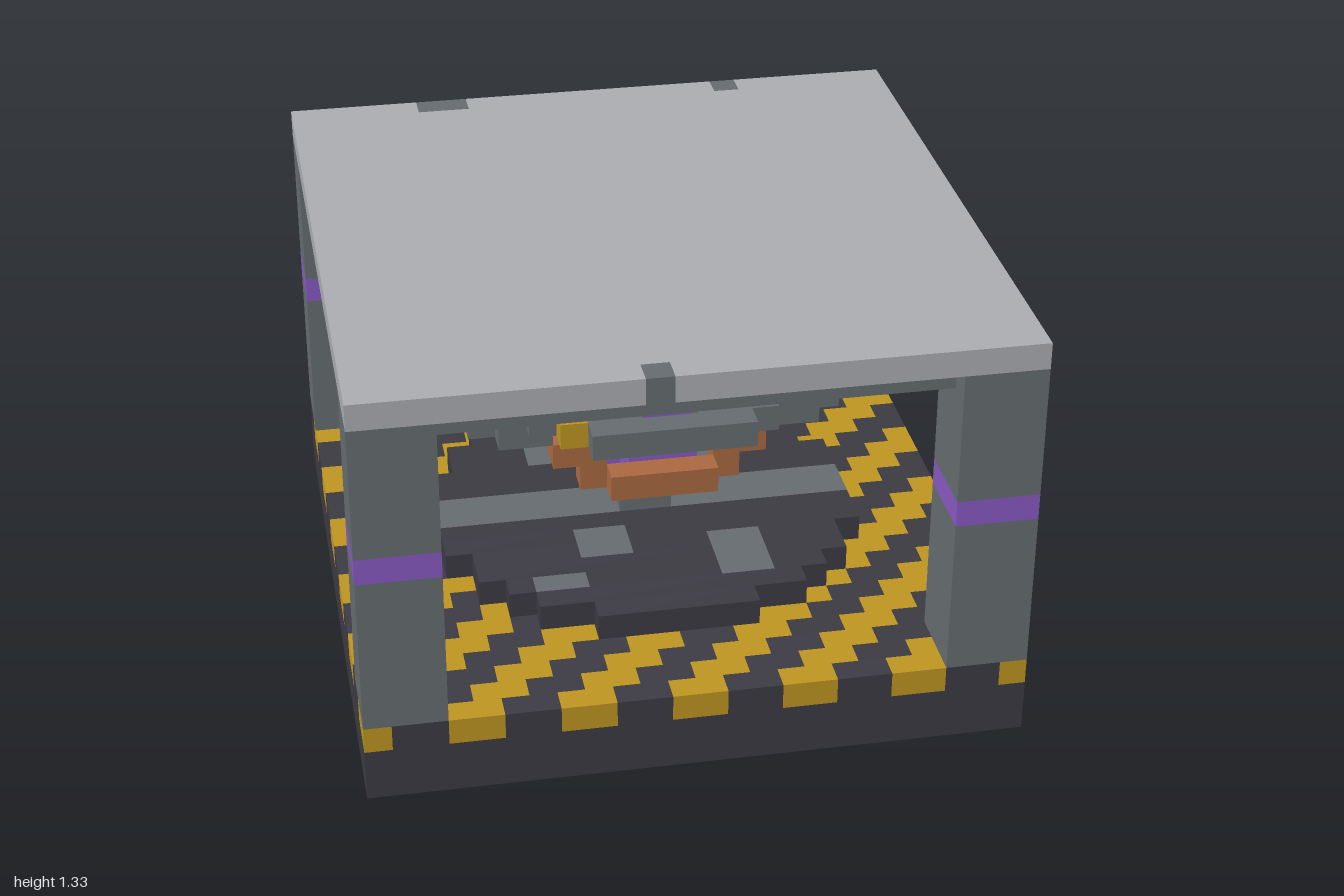
import * as THREE from 'three';
import { mergeGeometries } from 'three/addons/utils/BufferGeometryUtils.js';

const U = 1 / 12; // one block

function material(name, hex) {
  const m = new THREE.MeshStandardMaterial({ color: hex });
  m.name = name;
  return m;
}

// Box between two corners, in block units
function block(x0, y0, z0, x1, y1, z1) {
  const g = new THREE.BoxGeometry((x1 - x0) * U, (y1 - y0) * U, (z1 - z0) * U);
  return g.translate((x0 + x1) / 2 * U, (y0 + y1) / 2 * U, (z0 + z1) / 2 * U);
}

export function createModel() {
  const root = new THREE.Group();
  const mats = {
    dark: material('dark metal', 0x3c3a42),
    grey: material('grey metal', 0x656b6f),
    light: material('light metal', 0xaaacb0),
    yellow: material('hazard yellow', 0xbd9420),
    purple: material('purple energy', 0x8759c0),
    copper: material('copper', 0xa86840),
  };

  const add = (name, color, ...geos) => {
    const mesh = new THREE.Mesh(geos.length > 1 ? mergeGeometries(geos) : geos[0], mats[color]);
    mesh.name = name;
    root.add(mesh);
  };

  // One-block layer: pick(x, z) returns a colour or null; equal neighbours join along x
  const layer = (name, y, r, pick) => {
    const lists = {};
    for (let z = -r; z < r; z++) {
      let start = -r;
      for (let x = -r; x < r; x++) {
        const c = pick(x, z);
        if (x + 1 < r && pick(x + 1, z) === c) continue;
        if (c) (lists[c] ??= []).push(block(start, y, z, x + 1, y + 1, z + 1));
        start = x + 1;
      }
    }
    for (const c in lists) add(`${name} ${c}`, c, ...lists[c]);
  };
  const inside = (x, z, x0, z0, x1, z1) => x >= x0 && x < x1 && z >= z0 && z < z1;
  const radius = (x, z) => Math.hypot(x + 0.5, z + 0.5);

  // Base with a diagonal hazard-striped top
  add('base', 'dark', block(-12, 0, -12, 12, 2, 12));
  layer('hazardDeck', 2, 12, (x, z) => {
    if (z === -12 && (x === -9 || x === -8)) return 'copper';
    return (x + z + 24) % 4 >= 2 ? 'yellow' : 'dark';
  });

  // Round platform with a grey strip and worn patches
  const patches = [
    [-8, -1, 8, 1], [-5, 5, -3, 6], [-3, 2, -1, 4], [2, 3, 4, 6],
    [1, -8, 3, -7], [2, -4, 4, -2], [-4, -5, -2, -3],
  ];
  layer('platform', 3, 8, (x, z) => {
    if (radius(x, z) >= 8) return null;
    return patches.some((p) => inside(x, z, ...p)) ? 'grey' : 'dark';
  });
  add('controlBox', 'dark', block(-9, 3, -1, -8, 5, 1));

  // Corner pillars with glowing bands
  for (const sx of [-1, 1]) for (const sz of [-1, 1]) {
    const x = sx > 0 ? 9 : -12, z = sz > 0 ? 9 : -12;
    add('pillar', 'grey', block(x, 3, z, x + 3, 9, z + 3), block(x, 10, z, x + 3, 15, z + 3));
    add('pillarBand', 'purple', block(x, 9, z, x + 3, 10, z + 3));
  }

  // Ceiling slab and roof plate with worn edge blocks
  add('ceiling', 'grey', block(-11, 14, -11, 11, 15, 11));
  layer('roof', 15, 12, (x, z) => {
    const worn = (z === 11 && x === -2) || (z === -12 && (x === -7 || x === -6 || x === 5));
    return worn ? 'grey' : 'light';
  });

  // Posts holding the core
  add('lowerPost', 'grey', block(-1, 4, -1, 1, 6, 1));
  add('upperPost', 'grey', block(-1, 12, -1, 1, 14, 1));

  // Core sphere
  for (let y = 6; y < 12; y++) {
    layer('core', y, 3, (x, z) => Math.hypot(radius(x, z), y - 8.5) < 3.09 ? 'purple' : null);
  }

  // Two rings tilted in opposite directions, each in four steps
  for (const s of [-1, 1]) {
    const depth = (z) => s > 0 ? z : -1 - z; // blocks away from the middle on this half
    const yIn = s > 0 ? 9 : 8, yOut = s > 0 ? 10 : 7;
    const outer = (x, z) => {
      if (depth(z) < 0 || radius(x, z) < 5.6 || radius(x, z) >= 7) return null;
      return s > 0 && x === -4 && z === 5 ? 'yellow' : 'grey';
    };
    layer('outerRing', yIn, 7, (x, z) => depth(z) < 4 ? outer(x, z) : null);
    layer('outerRing', yOut, 7, (x, z) => depth(z) >= 3 ? outer(x, z) : null);

    const inner = (x, z) => depth(z) >= 0 && radius(x, z) >= 4 && radius(x, z) < 5 ? 'copper' : null;
    layer('innerRing', 17 - yIn, 5, (x, z) => depth(z) < 4 ? inner(x, z) : null);
    layer('innerRing', 17 - yOut, 5,
      (x, z) => depth(z) >= 3 && Math.abs(x + 0.5) < 3 ? inner(x, z) : null);
  }
  return root;
}
